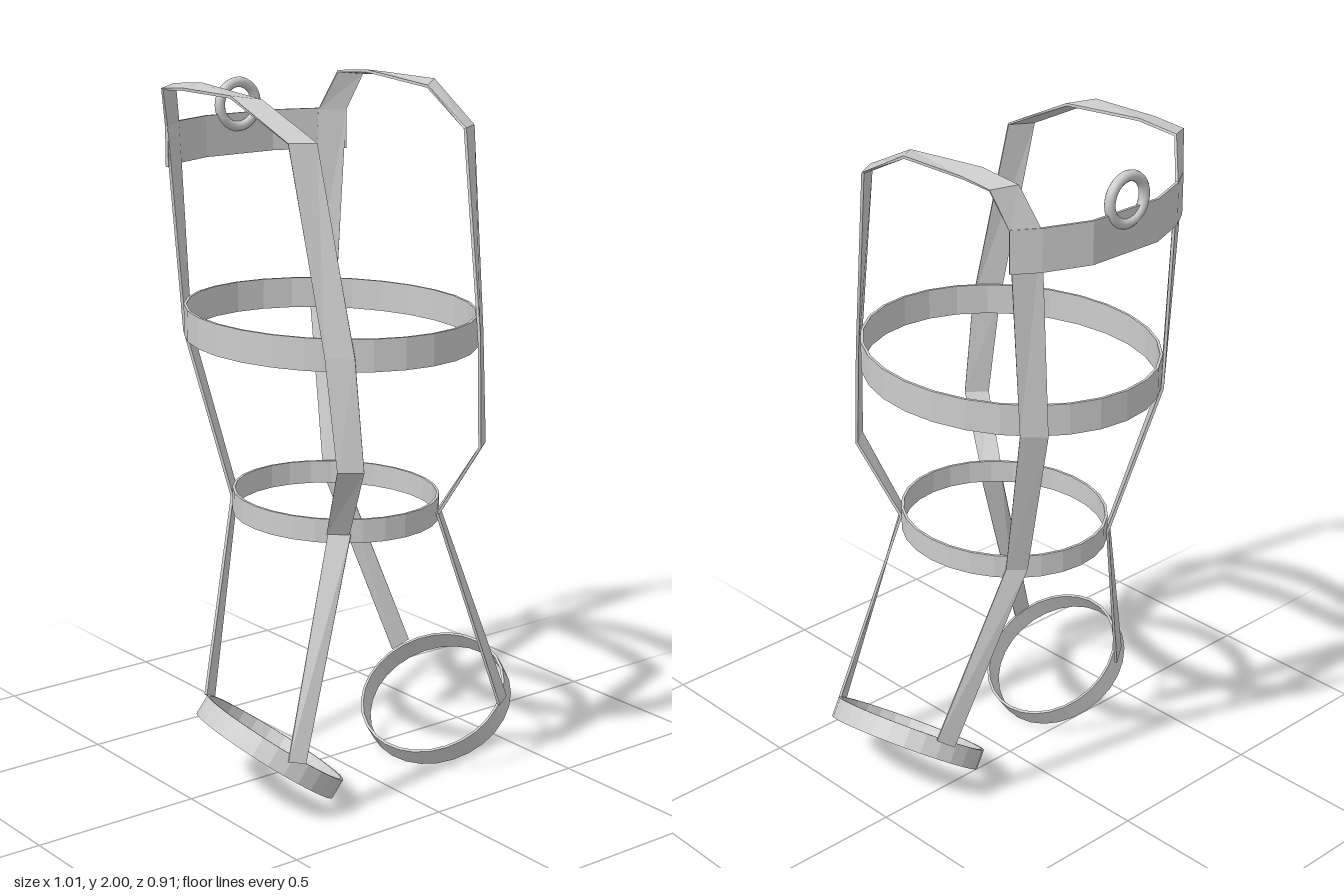
import * as THREE from 'three';

const material = new THREE.MeshStandardMaterial({ color: 0xcccccc, flatShading: true });
const V = (p) => new THREE.Vector3(...p);

// Flat strap lofted through pairs of edge points [a, b], with a little thickness
function strap(name, pairs, closed = false, half = 0.004) {
  const n = pairs.length;
  const edges = pairs.map(([a, b]) => [V(a), V(b)]);
  const mids = edges.map(([a, b]) => a.clone().add(b).multiplyScalar(0.5));
  const sections = edges.map(([a, b], i) => {
    const next = closed ? (i + 1) % n : Math.min(i + 1, n - 1);
    const prev = closed ? (i + n - 1) % n : Math.max(i - 1, 0);
    const along = mids[next].clone().sub(mids[prev]);
    const off = b.clone().sub(a).cross(along).setLength(half);
    return [a.clone().add(off), b.clone().add(off), b.clone().sub(off), a.clone().sub(off)];
  });
  const pos = [];
  const quad = (a, b, c, d) => [a, b, c, a, c, d].forEach((p) => pos.push(p.x, p.y, p.z));
  for (let i = 0; i < (closed ? n : n - 1); i++) {
    const s = sections[i], t = sections[(i + 1) % n];
    for (let k = 0; k < 4; k++) quad(s[k], s[(k + 1) % 4], t[(k + 1) % 4], t[k]);
  }
  if (!closed) {
    quad(...[...sections[0]].reverse());
    quad(...sections[n - 1]);
  }
  const geo = new THREE.BufferGeometry();
  geo.setAttribute('position', new THREE.Float32BufferAttribute(pos, 3));
  geo.computeVertexNormals();
  const mesh = new THREE.Mesh(geo, material);
  mesh.name = name;
  return mesh;
}

// Elliptical band around an axis; u and v are the radius vectors
function hoop(name, center, u, v, width, segments) {
  const axis = v.clone().cross(u).setLength(width / 2);
  const pairs = [];
  for (let i = 0; i < segments; i++) {
    const a = (i / segments) * Math.PI * 2;
    const p = center.clone().addScaledVector(u, Math.cos(a)).addScaledVector(v, Math.sin(a));
    pairs.push([p.clone().add(axis).toArray(), p.clone().sub(axis).toArray()]);
  }
  return strap(name, pairs, true);
}

export function createModel() {
  const model = new THREE.Group();
  model.name = 'harness';

  // Horizontal bands
  model.add(hoop('chestBand', V([0, 1.325, 0]), V([0.388, 0, 0]), V([0, 0, 0.451]), 0.09, 28));
  model.add(hoop('waistBand', V([0, 0.805, 0.025]), V([0.282, 0, 0]), V([0, 0, 0.312]), 0.068, 28));

  // Inner and outer edges of the long strap: front waist, over the shoulder, back waist
  const shoulder = [
    [[0.16, 0.8, 0.295], [0.205, 0.8, 0.25]],
    [[0.205, 1.01, 0.415], [0.262, 1.01, 0.37]],
    [[0.218, 1.32, 0.39], [0.277, 1.32, 0.335]],
    [[0.255, 1.88, 0.275], [0.32, 1.88, 0.235]],
    [[0.287, 1.975, 0.075], [0.355, 1.985, 0.025]],
    [[0.288, 1.996, -0.2], [0.355, 1.986, -0.2]],
    [[0.288, 1.985, -0.335], [0.355, 1.978, -0.3]],
    [[0.25, 1.87, -0.38], [0.32, 1.87, -0.335]],
    [[0.22, 1.28, -0.38], [0.275, 1.28, -0.328]],
    [[0.16, 0.8, -0.24], [0.205, 0.8, -0.2]],
  ];
  const frontLeg = [
    [[0.155, 0.8, 0.295], [0.2, 0.8, 0.25]],
    [[0.355, 0.19, 0.35], [0.4, 0.2, 0.33]],
  ];
  const backLeg = [
    [[0.16, 0.8, -0.24], [0.205, 0.8, -0.2]],
    [[0.335, 0.23, -0.12], [0.38, 0.26, -0.095]],
  ];

  for (const [side, s] of [['left', 1], ['right', -1]]) {
    const mirror = (pairs) => pairs.map((pair) => pair.map(([x, y, z]) => [x * s, y, z]));
    model.add(strap(side + 'ShoulderStrap', mirror(shoulder)));
    model.add(strap(side + 'FrontLegStrap', mirror(frontLeg)));
    model.add(strap(side + 'BackLegStrap', mirror(backLeg)));

    // Tilted thigh loop
    const axis = V([-0.57 * s, 0.81, 0.11]).normalize();
    const v = V([0, 0, 1]).addScaledVector(axis, -axis.z).setLength(0.235);
    const u = v.clone().cross(axis).setLength(0.214);
    model.add(hoop(side + 'ThighLoop', V([0.308 * s, 0.153, 0.118]), u, v, 0.06, 28));
  }

  // Strap across the upper back
  const path = [[-0.32, -0.335], [-0.25, -0.382], [-0.12, -0.433], [0.12, -0.433], [0.25, -0.382], [0.32, -0.335]];
  model.add(strap('backCrossStrap', path.map(([x, z]) => [[x, 1.755, z], [x, 1.875, z]])));

  // Hanging ring
  const ring = new THREE.Mesh(
    new THREE.TorusGeometry(0.064, 0.015, 12, 32),
    new THREE.MeshStandardMaterial({ color: 0xcccccc }),
  );
  ring.name = 'hangingRing';
  ring.position.set(-0.005, 1.9, -0.432);
  model.add(ring);

  return model;
}
